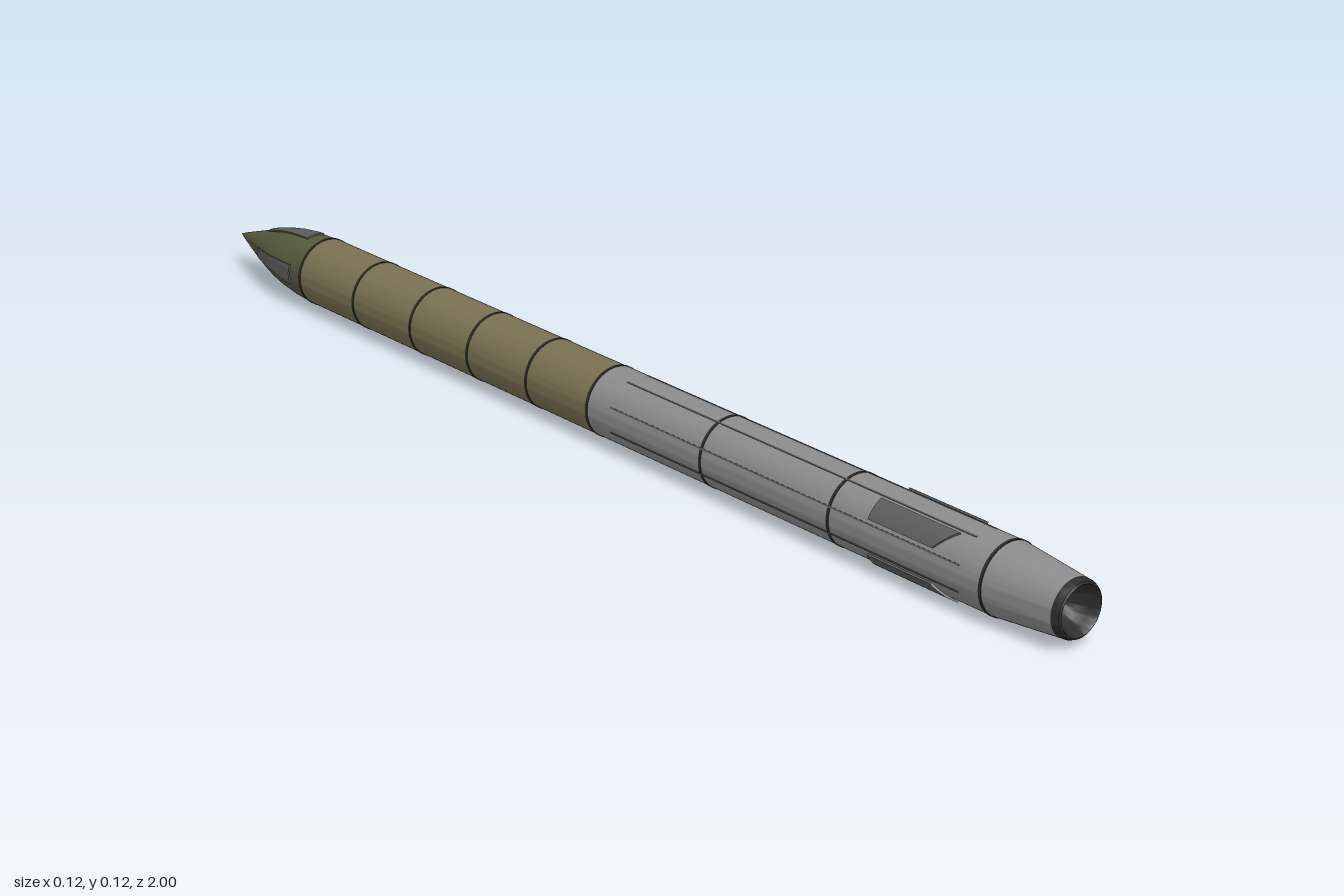
import * as THREE from 'three';
import { toCreasedNormals } from 'three/addons/utils/BufferGeometryUtils.js';

const CY = 0.06;   // height of the long axis
const R = 0.058;   // hull radius

const mat = (color) => new THREE.MeshStandardMaterial({ color });
const materials = {
  grey: mat(0x8c8c8c), panel: mat(0x5e5e5e), dark: mat(0x2c2c2c),
  olive: mat(0x7a7152), green: mat(0x555b3c),
};

// Nose outline: [z, radius] from tip to shoulder
const noseProfile = [
  [-1, 0], [-0.985, 0.006], [-0.95, 0.018], [-0.92, 0.028], [-0.89, 0.037],
  [-0.86, 0.045], [-0.83, 0.051], [-0.79, 0.056], [-0.75, R],
];

function noseRadius(z) {
  for (let i = 1; i < noseProfile.length; i++) {
    const [z0, r0] = noseProfile[i - 1], [z1, r1] = noseProfile[i];
    if (z <= z1) return r0 + (r1 - r0) * (z - z0) / (z1 - z0);
  }
  return R;
}

export function createModel() {
  const model = new THREE.Group();

  function add(name, geometry, material) {
    const mesh = new THREE.Mesh(geometry, material);
    mesh.name = name;
    model.add(mesh);
    return mesh;
  }

  // Solid of revolution about the long axis, profile given as [z, radius]
  function turned(name, profile, material) {
    const points = profile.map(([z, r]) => new THREE.Vector2(r, z));
    const geometry = new THREE.LatheGeometry(points, 64).rotateX(Math.PI / 2);
    add(name, toCreasedNormals(geometry, 0.5), material).position.y = CY;
  }

  // Raised plate hugging the hull. place(u, v) gives { a, z, r };
  // the outermost row of vertices drops below the skin to form the sides.
  function plate(name, place, material, nu = 10, nv = 12) {
    const geometry = new THREE.PlaneGeometry(1, 1, nu, nv);
    const pos = geometry.attributes.position, uv = geometry.attributes.uv;
    const inner = (t, n) => THREE.MathUtils.clamp((t * n - 1) / (n - 2), 0, 1);
    for (let i = 0; i < pos.count; i++) {
      const u = uv.getX(i), v = uv.getY(i);
      const edge = u < 0.001 || u > 0.999 || v < 0.001 || v > 0.999;
      const { a, z, r } = place(inner(u, nu), inner(v, nv));
      const rr = edge ? r - 0.006 : r;
      pos.setXYZ(i, rr * Math.cos(a), rr * Math.sin(a), z);
    }
    add(name, toCreasedNormals(geometry, 0.5), material).position.y = CY;
  }

  // Hull sections
  turned('nose', noseProfile, materials.green);
  turned('forwardBody', [[-0.75, R], [0.005, R]], materials.olive);
  turned('rearBody', [[0.005, R], [0.86, R]], materials.grey);
  turned('tailCone', [[0.86, R], [0.985, 0.046]], materials.grey);

  // Nozzle: rounded rim and a hollow bowl
  turned('nozzle', [
    [0.983, 0.046], [0.992, 0.0455], [0.998, 0.043], [1, 0.04], [0.996, 0.037],
    [0.985, 0.034], [0.97, 0.027], [0.955, 0.017], [0.945, 0.009], [0.942, 0],
  ], materials.dark);

  // Joint bands
  for (const z of [0.86, 0.55, 0.27, 0.005, -0.145, -0.295, -0.445, -0.6, -0.75]) {
    turned('jointBand', [
      [z - 0.003, R - 0.001], [z - 0.0025, R + 0.0008],
      [z + 0.0025, R + 0.0008], [z + 0.003, R - 0.001],
    ], materials.dark);
  }

  for (let k = 0; k < 4; k++) {
    const axis = k * Math.PI / 2;

    // Folded tail panels on the diagonals, with a slanted rear edge
    const flip = k % 2 === 1;
    plate('tailPanel', (u, v) => {
      const end = 0.76 + 0.03 * (flip ? 1 - u : u);
      return { a: axis + Math.PI / 4 + (u - 0.5) * 0.62, z: 0.63 + v * (end - 0.63), r: R + 0.0033 };
    }, materials.panel);

    // Tapered nose panels on the axes
    plate('nosePanel', (u, v) => {
      const z = -0.905 + v * 0.125;
      const r = noseRadius(z) + 0.003;
      const halfWidth = 0.009 + 0.009 * v;
      return { a: axis + (u - 0.5) * 2 * Math.asin(halfWidth / r), z, r };
    }, materials.panel);

    // Pair of narrow raceways beside each axis
    for (const side of [-1, 1]) {
      plate('raceway', (u, v) => ({
        a: axis + side * 0.36 + (u - 0.5) * 0.045, z: 0.06 + v * 0.755, r: R + 0.001,
      }), materials.panel, 4, 4);
    }
  }

  return model;
}
